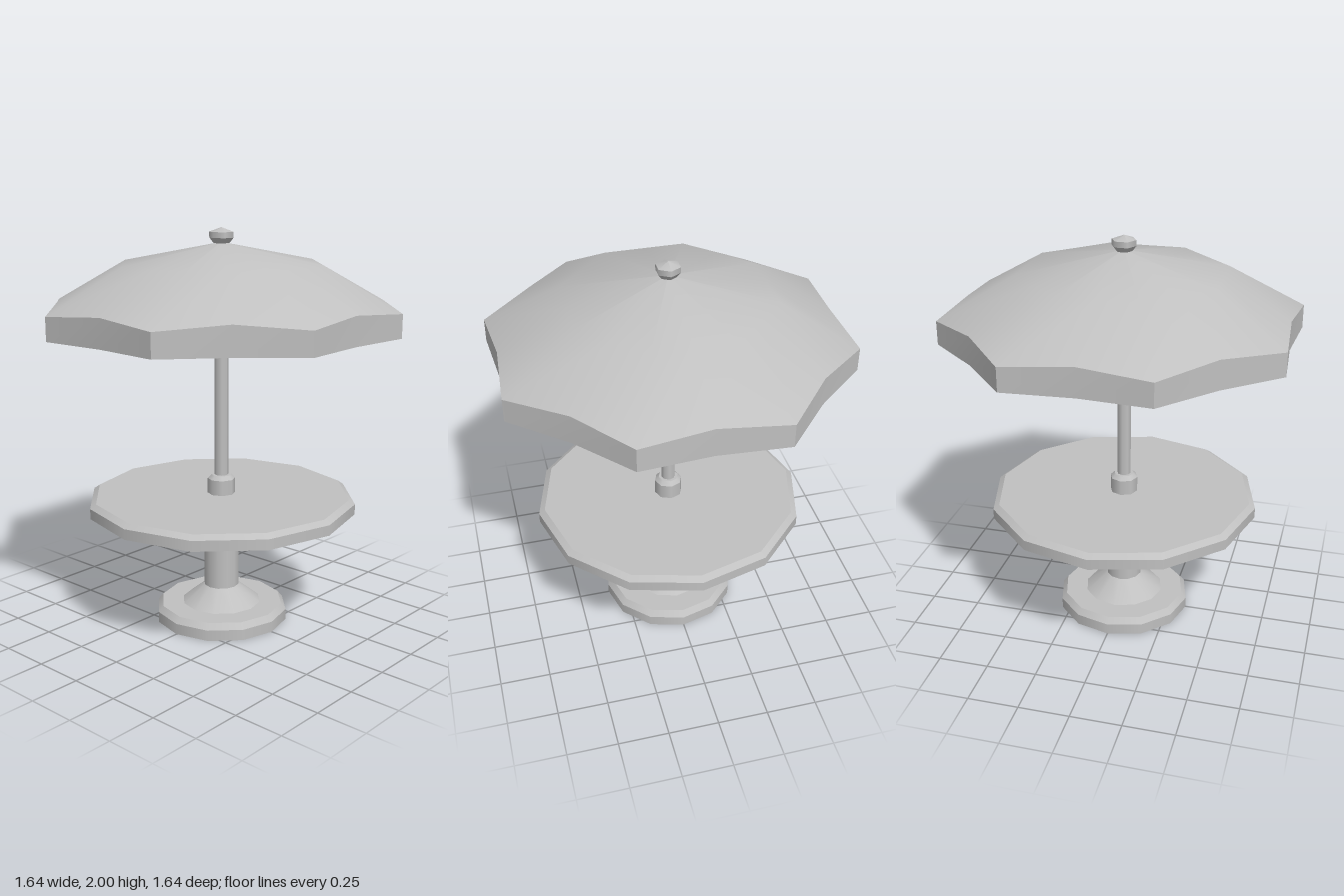
import * as THREE from 'three';
import { mergeGeometries, toCreasedNormals } from 'three/addons/utils/BufferGeometryUtils.js';

const grey = new THREE.MeshStandardMaterial({ color: 0xc0c0c0 });
grey.name = 'plain grey';

function part(name, geometry) {
  const mesh = new THREE.Mesh(geometry, grey);
  mesh.name = name;
  return mesh;
}

// Turned part: smooth around the axis, sharp at each profile step (bottom to top).
function turned(name, profile, sides) {
  const pieces = [];
  for (let i = 0; i + 1 < profile.length; i++) {
    const pair = [profile[i], profile[i + 1]].map(([r, y]) => new THREE.Vector2(r, y));
    pieces.push(new THREE.LatheGeometry(pair, sides, Math.PI / 2));
  }
  return part(name, mergeGeometries(pieces));
}

// Eight-cornered loft; each ring is [corner radius, corner y, mid radius, mid y].
function loft(rings) {
  const n = 16, pos = [], index = [];
  for (const [rc, yc, rm, ym] of rings) {
    for (let k = 0; k < n; k++) {
      const t = (k / n) * Math.PI * 2, corner = k % 2 === 1;
      const r = corner ? rc : rm;
      pos.push(r * Math.sin(t), corner ? yc : ym, r * Math.cos(t));
    }
  }
  for (let i = 0; i + 1 < rings.length; i++) {
    for (let k = 0; k < n; k++) {
      const a = i * n + k, b = i * n + ((k + 1) % n);
      index.push(a, b, b + n, a, b + n, a + n);
    }
  }
  const g = new THREE.BufferGeometry();
  g.setAttribute('position', new THREE.Float32BufferAttribute(pos, 3));
  g.setIndex(index);
  g.computeVertexNormals();
  return g;
}

export function createModel() {
  const model = new THREE.Group();
  model.name = 'parasolTable';

  // Pedestal and table
  model.add(turned('base', [[0, 0], [0.34, 0], [0.34, 0.055], [0.315, 0.085], [0, 0.085]], 12));
  model.add(turned('pedestal', [[0.205, 0.083], [0.09, 0.175], [0.09, 0.5], [0.175, 0.596]], 12));
  model.add(turned('tableTop', [[0, 0.595], [0.68, 0.595], [0.68, 0.647], [0.65, 0.668], [0, 0.668]], 12));

  // Pole and fittings
  model.add(turned('poleCollar', [[0.07, 0.665], [0.07, 0.745], [0.05, 0.765], [0, 0.765]], 8));
  model.add(turned('pole', [[0.035, 0.7], [0.035, 1.9]], 8));
  model.add(turned('ribHub', [[0, 1.73], [0.08, 1.73], [0.08, 1.785], [0.04, 1.87], [0, 1.87]], 8));
  model.add(turned('finial', [[0, 1.92], [0.04, 1.925], [0.06, 1.95], [0.06, 1.978], [0, 2]], 6));

  // Canopy: outer cloth, hanging valance, and the inside
  const canopy = new THREE.Group();
  canopy.name = 'canopy';
  const apex = [0, 1.93, 0, 1.93], shoulder = [0.51, 1.83, 0.475, 1.828];
  const rim = [0.888, 1.62, 0.797, 1.645], hem = [0.888, 1.505, 0.797, 1.505];
  const innerHem = [0.843, 1.505, 0.755, 1.505], innerRim = [0.843, 1.58, 0.755, 1.6];
  const innerShoulder = [0.49, 1.79, 0.46, 1.79], innerApex = [0, 1.885, 0, 1.885];
  canopy.add(part('canopyTop', loft([rim, shoulder, apex])));
  canopy.add(part('valance', toCreasedNormals(loft([innerRim, innerHem, hem, rim]), 0.5)));
  canopy.add(part('canopyLining', loft([innerApex, innerShoulder, innerRim])));
  model.add(canopy);

  // Ribs run from the hub to each corner
  const outline = [[0.03, 1.88], [0.49, 1.8], [0.85, 1.585], [0.85, 1.54], [0.48, 1.75], [0.03, 1.825]];
  const shape = new THREE.Shape(outline.map(([x, y]) => new THREE.Vector2(x, y)));
  const ribGeometry = new THREE.ExtrudeGeometry(shape, { depth: 0.036, bevelEnabled: false });
  ribGeometry.translate(0, 0, -0.018);
  for (let i = 0; i < 8; i++) {
    const rib = part('rib', ribGeometry);
    rib.rotation.y = (i + 0.5) * Math.PI / 4;
    model.add(rib);
  }
  return model;
}
